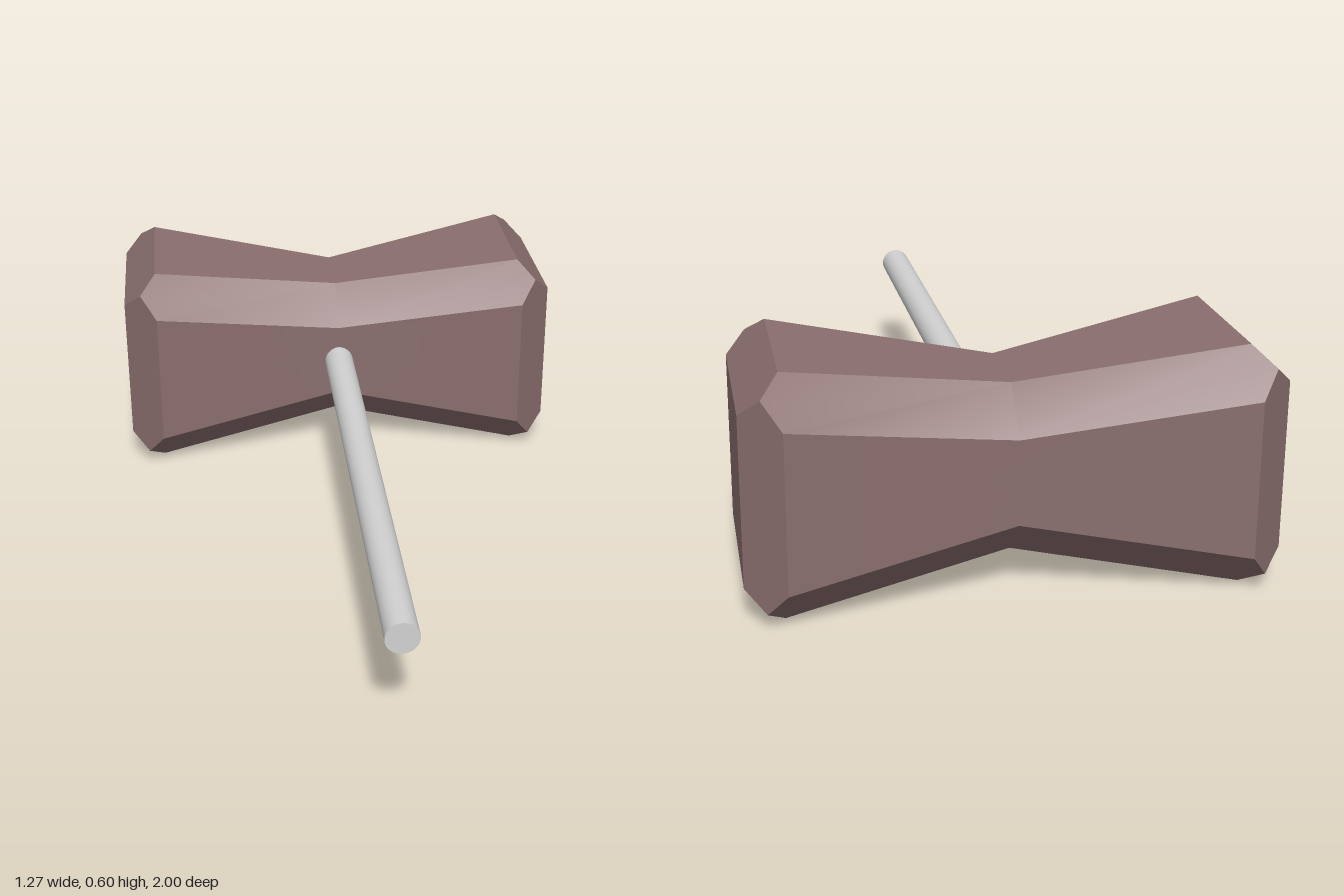
import * as THREE from 'three';
import { toCreasedNormals } from 'three/addons/utils/BufferGeometryUtils.js';

// Waisted block with chamfered edges: one octant, mirrored to all eight
function headGeometry() {
  const E = [0.637, 0.21, 0.21]; // end face corner
  const C = [0.588, 0.257, 0.257]; // where three chamfers meet
  const F = [0.543, 0.195, 0.3], T = [0.543, 0.3, 0.195]; // wide section
  const Fm = [0, 0.106, 0.21], Tm = [0, 0.21, 0.106]; // waist section
  const F0 = [0.543, 0, 0.3], T0 = [0.543, 0.3, 0];
  const Ey = [0.637, 0.21, 0], Ez = [0.637, 0, 0.21];
  const faces = [
    [[0, 0, 0.21], F0, F, Fm], // front
    [[0, 0.21, 0], Tm, T, T0], // top
    [Fm, F, C, T, Tm], // long chamfer
    [[0.637, 0, 0], Ey, E, Ez], // striking face
    [F0, Ez, E, C, F], // upright end chamfer
    [T0, T, C, E, Ey], // level end chamfer
  ];
  const pos = [];
  for (const sx of [1, -1]) for (const sy of [1, -1]) for (const sz of [1, -1]) {
    for (const face of faces) {
      const p = face.map(([x, y, z]) => [x * sx, y * sy, z * sz]);
      if (sx * sy * sz < 0) p.reverse(); // keep faces outward
      for (let i = 1; i < p.length - 1; i++) pos.push(...p[0], ...p[i], ...p[i + 1]);
    }
  }
  const geo = new THREE.BufferGeometry();
  geo.setAttribute('position', new THREE.Float32BufferAttribute(pos, 3));
  return toCreasedNormals(geo, 0.5);
}

export function createModel() {
  const model = new THREE.Group();
  model.name = 'mallet';
  const wood = new THREE.MeshStandardMaterial({ color: 0x8a6e6e });
  wood.name = 'dull brown';
  const metal = new THREE.MeshStandardMaterial({ color: 0xd2d2d2 });
  metal.name = 'light grey';

  const head = new THREE.Mesh(headGeometry(), wood);
  head.name = 'head';
  head.position.set(0, 0.302, -0.7);
  model.add(head);

  // Handle runs from inside the head to the front
  const handle = new THREE.Mesh(new THREE.CylinderGeometry(0.042, 0.042, 1.7, 32), metal);
  handle.name = 'handle';
  handle.rotation.x = Math.PI / 2;
  handle.position.set(0, 0.303, 0.15);
  model.add(handle);
  return model;
}
